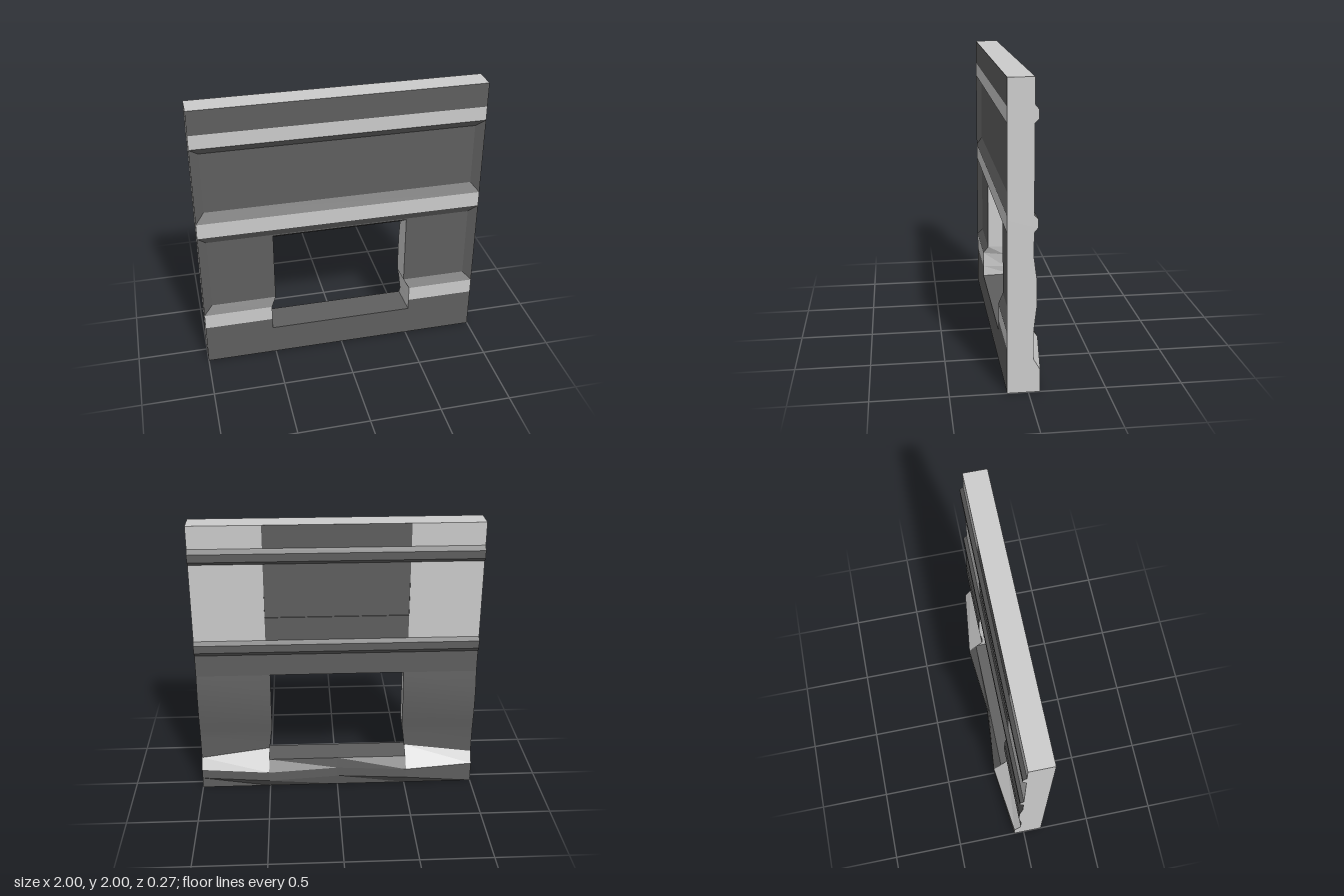
import * as THREE from 'three';

const light = new THREE.MeshStandardMaterial({ color: 0xcccccc });
const dark = new THREE.MeshStandardMaterial({ color: 0x5e5e5e });

const F = 0.135;  // front plane
const R = 0.1;    // recessed panel plane
const B = -0.03;  // back plane

// Skin through rows of points (top to bottom, left to right as seen from outside).
function skin(rows, smooth = false) {
  const n = rows[0].length, index = [];
  for (let r = 0; r < rows.length - 1; r++) {
    for (let c = 0; c < n - 1; c++) {
      const a = r * n + c, b = a + n;
      index.push(a, b, b + 1, a, b + 1, a + 1);
    }
  }
  let geo = new THREE.BufferGeometry();
  geo.setAttribute('position', new THREE.Float32BufferAttribute(rows.flat(2), 3));
  geo.setIndex(index);
  if (!smooth) geo = geo.toNonIndexed();
  geo.computeVertexNormals();
  return geo;
}

const mirror = rows => rows.map(row => row.map(([x, y, z]) => [-x, y, z]).reverse());

export function createModel() {
  const model = new THREE.Group();

  const add = (name, material, rows, smooth) => {
    const mesh = new THREE.Mesh(skin(rows, smooth), material);
    mesh.name = name;
    model.add(mesh);
  };
  const pair = (name, material, rows, smooth) => {
    add(name + 'Left', material, rows, smooth);
    add(name + 'Right', material, mirror(rows), smooth);
  };
  // Profile of [y, z] points swept between two x positions
  const front = (name, mat, x0, x1, profile) =>
    add(name, mat, profile.map(([y, z]) => [[x0, y, z], [x1, y, z]]));
  const back = (name, mat, x0, x1, profile) =>
    add(name, mat, profile.map(([y, z]) => [[x1, y, z], [x0, y, z]]));

  // Front: flat strips and light bands
  front('frontTopStrip', dark, -1, 1, [[2, F], [1.83, F]]);
  front('upperBand', light, -1, 1, [[1.83, F], [1.73, F]]);
  front('middleBand', light, -1, 1, [[1.17, F], [1.06, F]]);
  front('frontBase', dark, -1, 1, [[0.22, F], [0, F]]);
  pair('lowerBand', light, [[[0.515, 0.41, F], [1, 0.41, F]], [[0.515, 0.3, F], [1, 0.3, F]]]);
  pair('frontBaseSide', dark, [[[0.515, 0.3, F], [1, 0.3, F]], [[0.515, 0.22, F], [1, 0.22, F]]]);

  // Upper recessed panel with sloping borders
  front('upperPanel', dark, -0.94, 0.94, [[1.68, R], [1.24, R]]);
  add('upperPanelTopBevel', dark, [[[-1, 1.73, F], [1, 1.73, F]], [[-0.94, 1.68, R], [0.94, 1.68, R]]]);
  add('upperPanelBottomBevel', dark, [[[-0.94, 1.24, R], [0.94, 1.24, R]], [[-1, 1.17, F], [1, 1.17, F]]]);
  pair('upperPanelSideBevel', dark, [[[0.94, 1.68, R], [1, 1.73, F]], [[0.94, 1.24, R], [1, 1.17, F]]]);

  // Lower recessed panels on either side of the opening
  add('lowerPanelTopBevel', dark, [[[-1, 1.06, F], [1, 1.06, F]], [[-0.94, 1, R], [0.94, 1, R]]]);
  front('lintelFront', dark, -0.48, 0.48, [[1, R], [0.99, R]]);
  pair('lowerPanel', dark, [[[0.48, 1, R], [0.94, 1, R]], [[0.48, 0.47, R], [0.94, 0.47, R]]]);
  pair('lowerPanelSideBevel', dark, [[[0.94, 1, R], [1, 1.06, F]], [[0.94, 0.47, R], [1, 0.41, F]]]);
  pair('lowerPanelBottomBevel', dark, [[[0.48, 0.47, R], [0.94, 0.47, R]], [[0.515, 0.41, F], [1, 0.41, F]]]);

  // Opening: jambs join the front edge to the back edge, level by level
  const jambBack = [[0.475, 0.9, B], [0.475, 0.75, -0.05], [0.475, 0.58, -0.05], [0.475, 0.47, -0.037],
    [0.485, 0.4, B], [0.497, 0.3, B], [0.505, 0.23, -0.079]];
  const jambFront = [[0.48, 0.99, R], [0.48, 0.75, R], [0.48, 0.58, R], [0.48, 0.47, R],
    [0.515, 0.41, F], [0.515, 0.3, F], [0.515, 0.22, F]];
  pair('jamb', light, jambBack.map((p, i) => [p, jambFront[i]]));
  add('openingSoffit', dark, [[[-0.48, 0.99, R], [0.48, 0.99, R]], [[-0.475, 0.9, B], [0.475, 0.9, B]]]);
  add('openingSill', dark, [[[-0.505, 0.23, -0.079], [0.505, 0.23, -0.079]], [[-0.515, 0.22, F], [0.515, 0.22, F]]]);

  // Back: upper wall with a shallow inset in its darker centre
  const I = B + 0.008;
  for (const [side, x0, x1] of [['Right', -1, -0.5], ['Left', 0.5, 1]]) {
    back('backTop' + side, light, x0, x1, [[2, B], [1.84, B]]);
    back('backUpperWall' + side, light, x0, x1, [[1.73, B], [1.17, B]]);
  }
  back('backTopCentre', dark, -0.5, 0.5, [[2, B], [1.84, B]]);
  back('backCentrePanel', dark, -0.5, 0.5,
    [[1.73, B], [1.58, B], [1.58, I], [1.34, I], [1.34, B], [1.17, B]]);
  pair('insetEnd', dark, [[[0.5, 1.58, B], [0.5, 1.58, I]], [[0.5, 1.34, B], [0.5, 1.34, I]]]);

  // Back: horizontal ridges
  const ridges = [[1.84, 1.81, 1.755, 1.73], [1.17, 1.145, 1.09, 1.06]];
  for (const [a, b, c, d] of ridges) {
    back('backRidge', dark, -1, 1, [[a, B], [b, -0.055], [c, -0.055], [d, B]]);
  }
  back('backLintel', dark, -1, 1, [[1.06, B], [0.9, B]]);

  // Back: gently bulging piers beside the opening
  const pierOuter = [[1, 0.9, B], [1, 0.75, -0.05], [1, 0.58, -0.05], [1, 0.47, -0.037], [1, 0.4, B], [1, 0.23, B]];
  pair('backPier', dark, pierOuter.map((p, i) => [p, jambBack[i]]), true);

  // Back: foot swelling out at the opening's corners
  const E = -0.075;
  const corner = [[0.505, 0.15, -0.135], [0.505, 0.08, -0.135], [0.505, 0, E]];
  const end = [[1, 0.15, E], [1, 0.08, E], [1, 0, E]];
  const middle = [[0, 0.15, -0.09], [0, 0.08, -0.09], [0, 0, E]];
  pair('footSlope', light, [[[1, 0.23, B], [0.497, 0.3, B]], [end[0], corner[0]]]);
  pair('footFace', dark, corner.map((p, i) => [end[i], p]));
  pair('footInner', dark, [[[0.505, 0.23, -0.079], [0, 0.23, -0.079]], ...corner.map((p, i) => [p, middle[i]])]);

  // Ends, top and underside
  const endProfile = [[2, B],
    ...ridges.flatMap(([a, b, c, d]) => [[a, B], [b, -0.055], [c, -0.055], [d, B]]),
    ...pierOuter.map(p => [p[1], p[2]]), [0.15, E], [0, E]];
  pair('end', light, endProfile.map(([y, z]) => [[1, y, F], [1, y, z]]));
  add('top', light, [[[-1, 2, B], [1, 2, B]], [[-1, 2, F], [1, 2, F]]]);
  add('underside', light, [[[-1, 0, F], [1, 0, F]], [[-1, 0, E], [1, 0, E]]]);

  return model;
}
